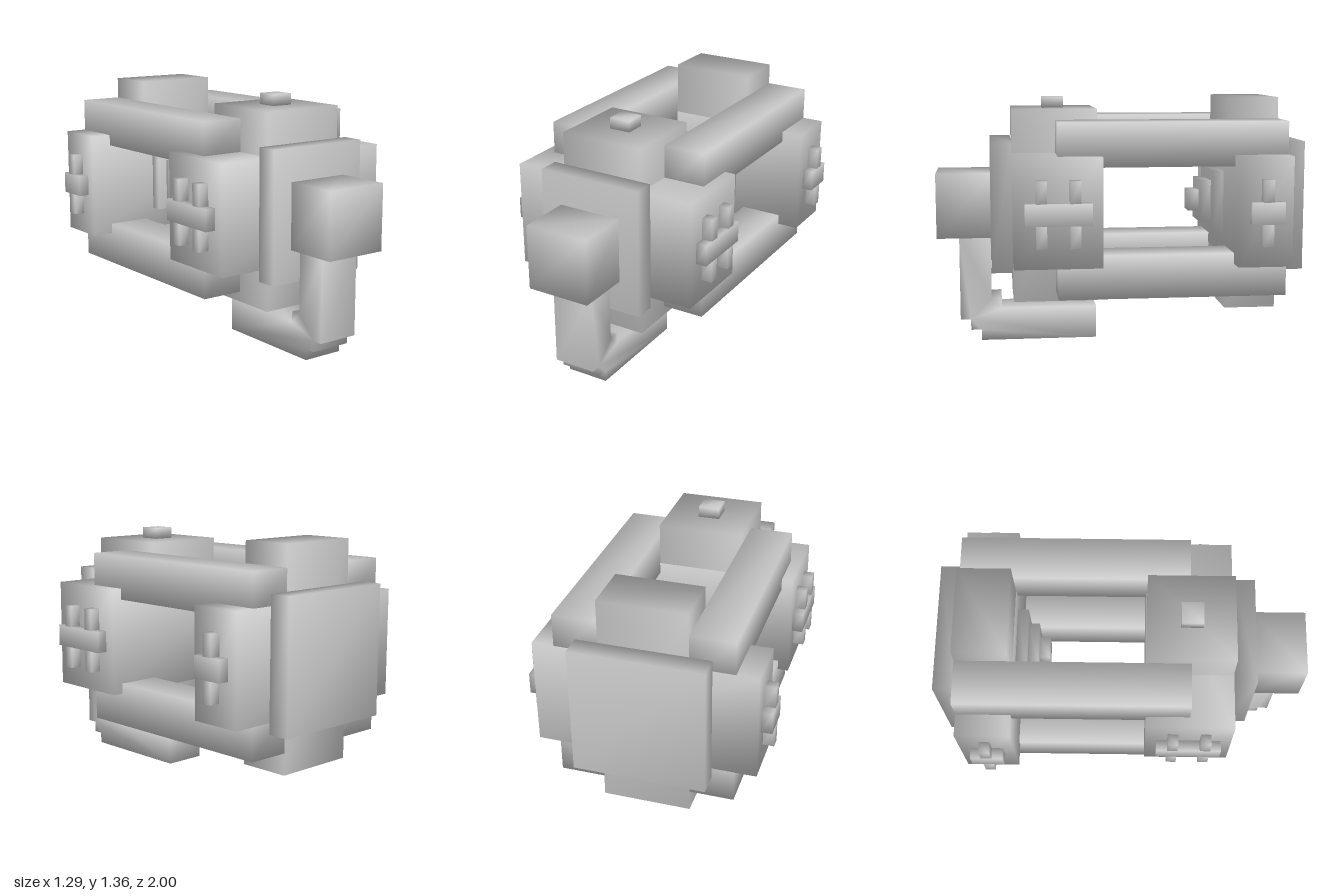
import * as THREE from 'three';
import { mergeVertices } from 'three/addons/utils/BufferGeometryUtils.js';

const grey = new THREE.MeshStandardMaterial({ color: 0xcccccc });

// Weld corners so the normals are shared and the blocks shade softly
function soften(geometry) {
  geometry.deleteAttribute('normal');
  geometry.deleteAttribute('uv');
  const welded = mergeVertices(geometry, 1e-4);
  welded.computeVertexNormals();
  return welded;
}

export function createModel() {
  const model = new THREE.Group();

  function add(name, geometry) {
    const mesh = new THREE.Mesh(soften(geometry), grey);
    mesh.name = name;
    model.add(mesh);
    return mesh;
  }

  // Block given by its extents on each axis
  function block(name, x0, x1, y0, y1, z0, z1) {
    const mesh = add(name, new THREE.BoxGeometry(x1 - x0, y1 - y0, z1 - z0));
    mesh.position.set((x0 + x1) / 2, (y0 + y1) / 2, (z0 + z1) / 2);
  }
  const centred = (name, halfWidth, ...rest) => block(name, -halfWidth, halfWidth, ...rest);
  function pair(name, x0, x1, ...rest) {
    block(name + 'Left', x0, x1, ...rest);
    block(name + 'Right', -x1, -x0, ...rest);
  }

  // Front housing: cross-shaped body, plate, nose and top knob
  centred('frontCrossBody', 0.53, 0.475, 1.06, 0.12, 0.588);
  centred('frontCore', 0.235, 0.24, 1.295, 0.123, 0.585);
  centred('frontPlate', 0.293, 0.415, 1.12, 0.588, 0.705);
  centred('nose', 0.177, 0.59, 0.945, 0.705, 1);
  centred('topKnob', 0.059, 1.295, 1.355, 0.295, 0.412);

  // Rear housing: cross-shaped body and back plate
  centred('rearCrossBody', 0.587, 0.475, 1.06, -0.88, -0.59);
  centred('rearCore', 0.235, 0.178, 1.355, -0.877, -0.593);
  centred('backPlate', 0.352, 0.415, 1.12, -1, -0.88);

  // Stepped boss pointing inward from the rear housing
  for (let i = 0; i < 3; i++) {
    const half = 0.177 - i * 0.059;
    centred('bossStep' + (i + 1), half, 0.767 - half, 0.767 + half, -0.59 + i * 0.059, -0.53 + i * 0.059);
  }

  // Four long rails joining the housings
  pair('upperRail', 0.235, 0.47, 1.0, 1.238, -0.878, 0.352);
  pair('lowerRail', 0.235, 0.47, 0.296, 0.532, -0.878, 0.352);

  // Side fittings: a crossbar with short pegs above and below
  function fitting(name, x, z0, z1, pegs) {
    pair(name + 'Bar', x, x + 0.059, 0.71, 0.826, z0, z1);
    for (const z of pegs) {
      pair(name + 'UpperPeg', x, x + 0.059, 0.826, 0.944, z - 0.028, z + 0.028);
      pair(name + 'LowerPeg', x, x + 0.059, 0.592, 0.71, z - 0.028, z + 0.028);
    }
  }
  fitting('frontFitting', 0.53, 0.18, 0.53, [0.267, 0.444]);
  fitting('rearFitting', 0.587, -0.822, -0.648, [-0.735]);

  // Bent arm below the nose, with a stepped elbow: [z, y] outline
  const outline = [
    [0.88, 0.59], [0.88, 0.12], [0.823, 0.12], [0.823, 0.06], [0.765, 0.06], [0.765, 0],
    [0.12, 0], [0.12, 0.18], [0.65, 0.18], [0.65, 0.238], [0.707, 0.238], [0.707, 0.59],
  ];
  const shape = new THREE.Shape(outline.map(([z, y]) => new THREE.Vector2(-z, y)));
  const arm = new THREE.ExtrudeGeometry(shape, { depth: 0.234, bevelEnabled: false });
  arm.translate(0, 0, -0.117).rotateY(Math.PI / 2);
  add('bentArm', arm);

  return model;
}
